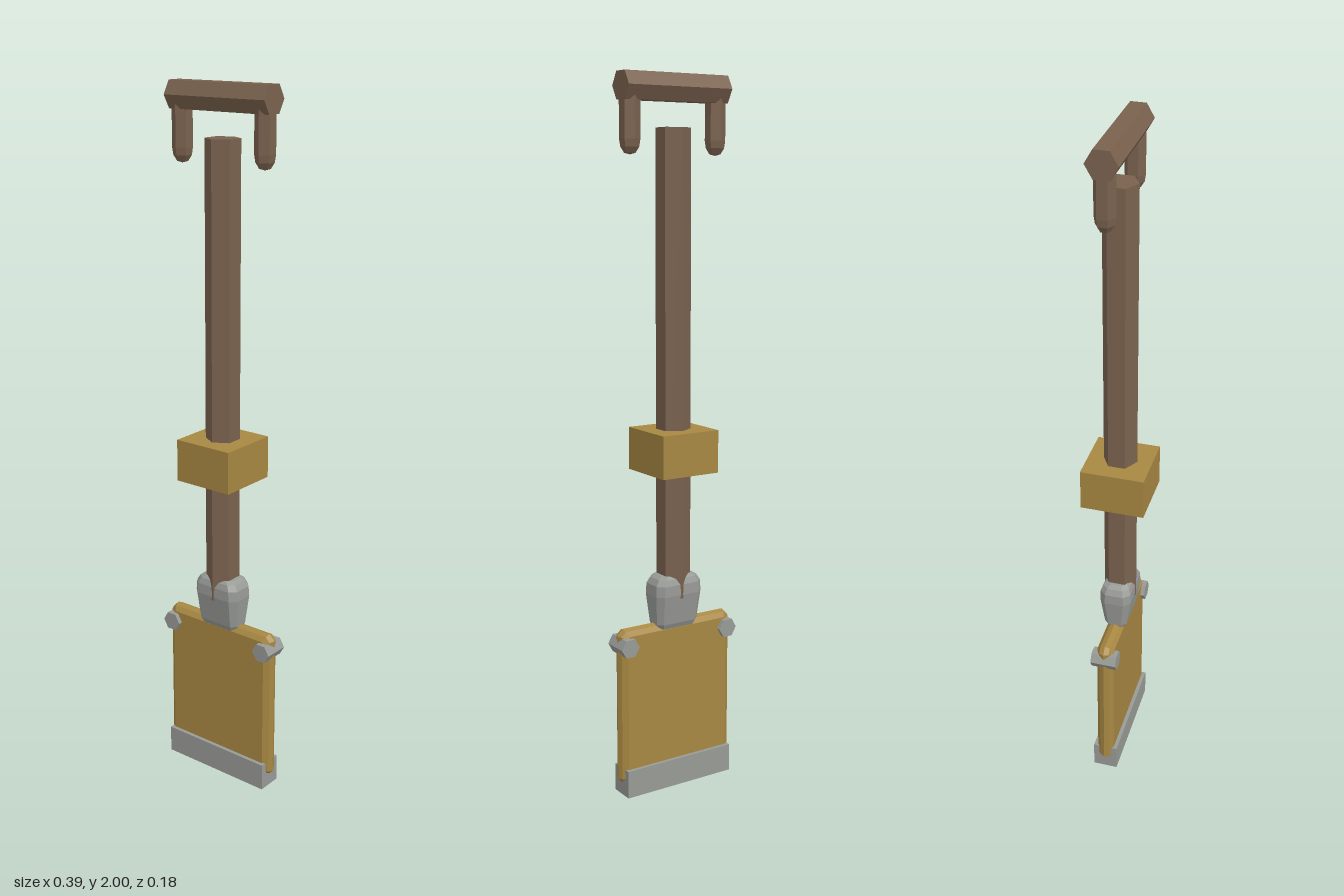
import * as THREE from 'three';

// Closed loft of chamfered rectangles stacked along y: [y, halfX, halfZ, chamfer]
function loft(layers) {
  const rings = layers.map(([y, w, d, c]) => [
    [w, -d + c], [w, d - c], [w - c, d], [-w + c, d],
    [-w, d - c], [-w, -d + c], [-w + c, -d], [w - c, -d],
  ].map(([x, z]) => [x, y, z]));
  const pos = [];
  const tri = (a, b, c) => pos.push(...a, ...b, ...c);
  const last = rings.length - 1;
  const bottom = [0, layers[0][0], 0], top = [0, layers[last][0], 0];
  for (let i = 0; i < 8; i++) {
    const n = (i + 1) % 8;
    for (let j = 0; j < last; j++) {
      tri(rings[j][i], rings[j + 1][i], rings[j][n]);
      tri(rings[j][n], rings[j + 1][i], rings[j + 1][n]);
    }
    tri(bottom, rings[0][i], rings[0][n]);
    tri(top, rings[last][n], rings[last][i]);
  }
  const g = new THREE.BufferGeometry();
  g.setAttribute('position', new THREE.Float32BufferAttribute(pos, 3));
  g.computeVertexNormals();
  return g;
}

export function createModel() {
  const group = new THREE.Group();
  const material = (name, color) => {
    const m = new THREE.MeshStandardMaterial({ color, flatShading: true });
    m.name = name;
    return m;
  };
  const wood = material('brown wood', 0x7a624e);
  const brass = material('dull gold', 0xa78742);
  const steel = material('grey steel', 0x989a96);

  const add = (name, geometry, mat, x, y, z) => {
    const mesh = new THREE.Mesh(geometry, mat);
    mesh.name = name;
    mesh.position.set(x, y, z);
    group.add(mesh);
    return mesh;
  };

  // Hexagonal handle bar and shaft
  add('grip', new THREE.CylinderGeometry(0.042, 0.042, 0.326, 6).rotateZ(Math.PI / 2), wood, 0, 1.9636, 0);
  add('shaft', new THREE.CylinderGeometry(0.048, 0.048, 1.295, 6), wood, 0, 1.2125, 0);

  // Round-ended prongs under the grip
  const prongProfile = [[0, 0], [0.015, 0.004], [0.025, 0.02], [0.028, 0.04], [0.028, 0.155]]
    .map(([r, y]) => new THREE.Vector2(r, y));
  for (const s of [-1, 1]) {
    add(s > 0 ? 'leftProng' : 'rightProng', new THREE.LatheGeometry(prongProfile, 6), wood, s * 0.136, 1.788, 0);
  }

  // Square block around the shaft
  add('shaftBlock', new THREE.BoxGeometry(0.18, 0.12, 0.18), brass, 0, 0.985, 0);

  // Tapered socket joining shaft and blade
  add('socket', loft([
    [0.475, 0.06, 0.026, 0.012],
    [0.49, 0.067, 0.033, 0.014],
    [0.575, 0.075, 0.046, 0.018],
    [0.605, 0.073, 0.045, 0.018],
    [0.622, 0.063, 0.039, 0.016],
    [0.63, 0.05, 0.03, 0.014],
  ]), steel, 0, 0, 0);

  // Flat blade with bevelled rim
  add('blade', loft([
    [-0.025, 0.166, 0.212, 0.008],
    [-0.014, 0.181, 0.225, 0.014],
    [0, 0.187, 0.231, 0.018],
    [0.014, 0.181, 0.225, 0.014],
    [0.025, 0.166, 0.212, 0.008],
  ]).rotateX(Math.PI / 2), brass, 0, 0.262, 0);

  // Cutting edge along the bottom
  add('cuttingEdge', new THREE.BoxGeometry(0.35, 0.08, 0.072), steel, 0, 0.04, 0);

  // Bolts through the upper blade corners
  for (const s of [-1, 1]) {
    const bolt = new THREE.CylinderGeometry(0.029, 0.029, 0.075, 6).rotateY(Math.PI / 2).rotateX(Math.PI / 2);
    add(s > 0 ? 'leftBolt' : 'rightBolt', bolt, steel, s * 0.165, 0.444, 0);
  }
  return group;
}
